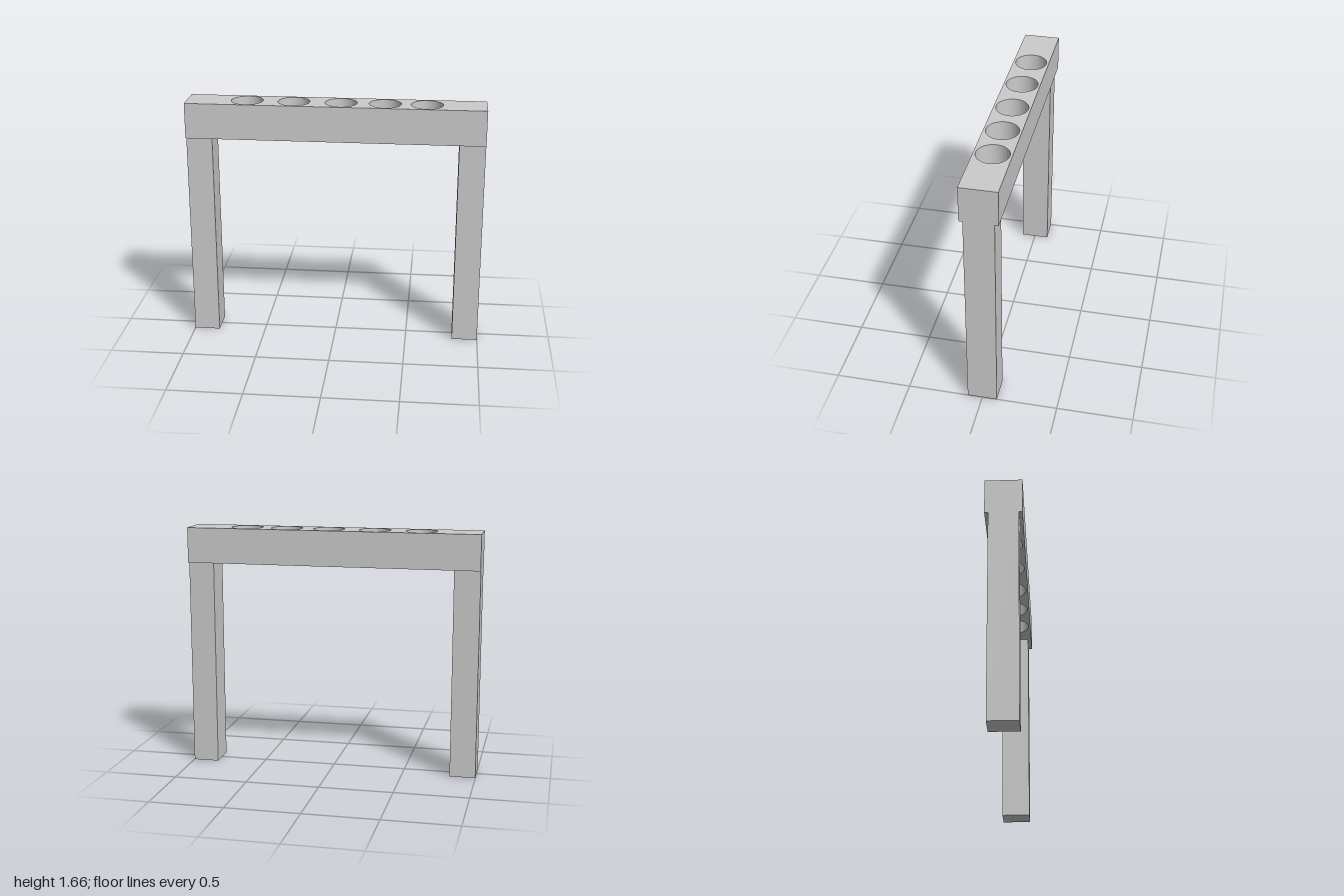
import * as THREE from 'three';
import { toCreasedNormals } from 'three/addons/utils/BufferGeometryUtils.js';

const HEIGHT = 1.66, LEG_HEIGHT = 1.42, BEAM_DEPTH = 0.244;
const LEG_WIDTH = 0.175, LEG_DEPTH = 0.196;
const HOLE_RADIUS = 0.107, HOLE_CENTRES = [-0.595, -0.28, 0.035, 0.328, 0.606];

export function createModel() {
  const model = new THREE.Group();
  model.name = 'holderStand';
  const material = new THREE.MeshStandardMaterial({ color: 0xcccccc });

  // Top beam, drawn in plan with round through holes and extruded upwards
  const d = BEAM_DEPTH / 2;
  const plan = new THREE.Shape([
    new THREE.Vector2(-1, -d), new THREE.Vector2(1, -d),
    new THREE.Vector2(1, d), new THREE.Vector2(-1, d),
  ]);
  for (const x of HOLE_CENTRES) {
    plan.holes.push(new THREE.Path().absarc(x, 0, HOLE_RADIUS, 0, Math.PI * 2, true));
  }
  const beamGeometry = new THREE.ExtrudeGeometry(plan, {
    depth: HEIGHT - LEG_HEIGHT, bevelEnabled: false, curveSegments: 32,
  });
  beamGeometry.rotateX(-Math.PI / 2);
  const beam = new THREE.Mesh(toCreasedNormals(beamGeometry, Math.PI / 6), material);
  beam.name = 'beam';
  beam.position.y = LEG_HEIGHT;
  model.add(beam);

  // Square posts flush with the beam ends
  for (const side of [-1, 1]) {
    const leg = new THREE.Mesh(new THREE.BoxGeometry(LEG_WIDTH, LEG_HEIGHT, LEG_DEPTH), material);
    leg.name = side > 0 ? 'leftLeg' : 'rightLeg';
    leg.position.set(side * (1 - LEG_WIDTH / 2), LEG_HEIGHT / 2, 0);
    model.add(leg);
  }
  return model;
}
